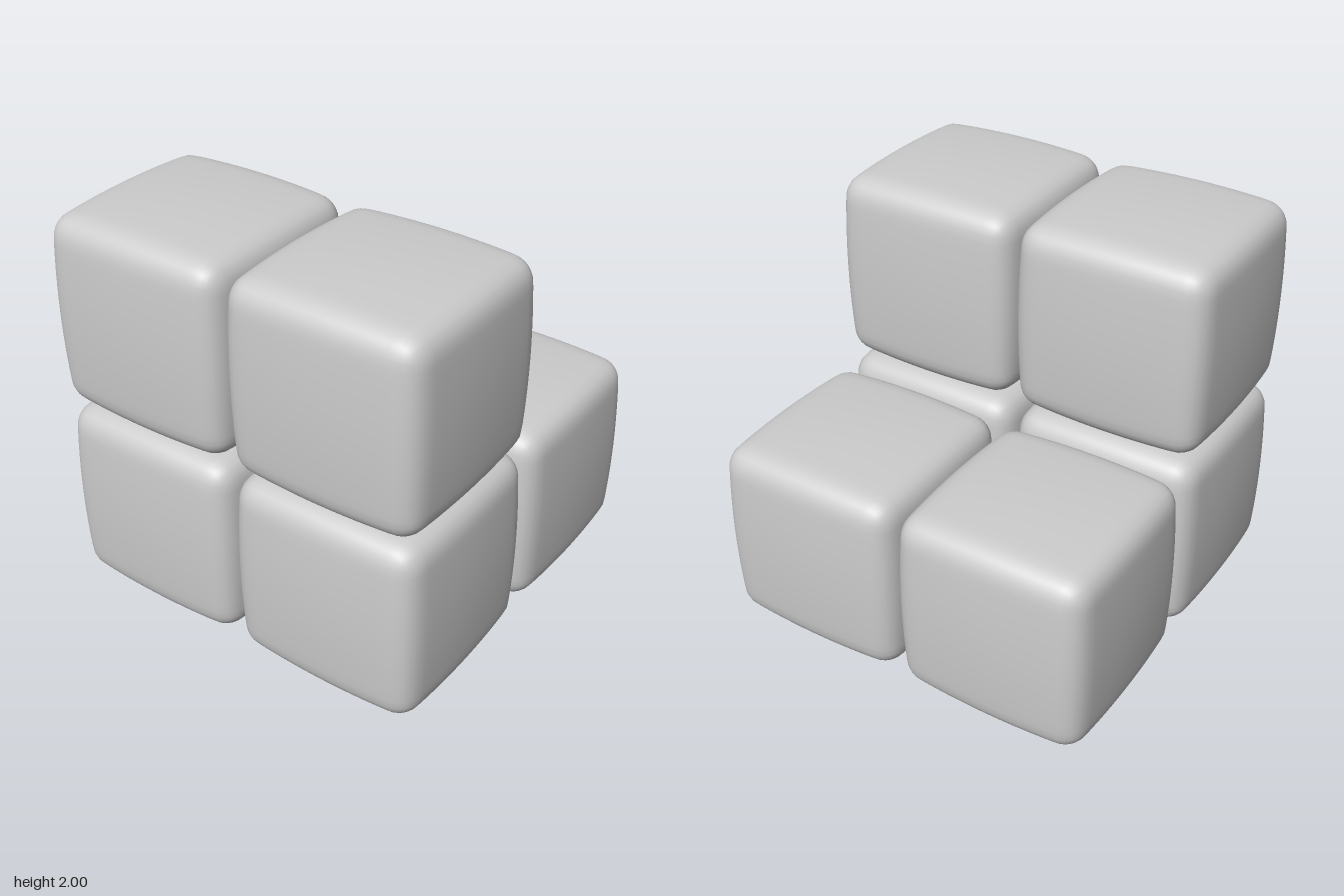
import * as THREE from 'three';
import { mergeVertices } from 'three/addons/utils/BufferGeometryUtils.js';

const HALF = 0.505;   // half size of one cushion block
const OFFSET = 0.495; // block centre distance from the middle planes
const INNER = 0.78;   // unit half size inside the rounded edges

// Cube with rounded edges and softly bulging faces
function softCube() {
  const n = 22;
  let geo = new THREE.BoxGeometry(2, 2, 2, n, n, n);
  geo.deleteAttribute('normal');
  geo.deleteAttribute('uv');
  geo = mergeVertices(geo, 1e-4);

  const pos = geo.attributes.position;
  const p = new THREE.Vector3();
  const core = new THREE.Vector3();
  const warp = (u) => u * (1.5 - 0.5 * u * u); // more rows near the edges
  const bulge = (a, b) => 1 - 0.05 * (a + b) + 0.02 * a * b;

  for (let i = 0; i < pos.count; i++) {
    p.fromBufferAttribute(pos, i);
    p.set(warp(p.x), warp(p.y), warp(p.z));
    // round the edges
    core.copy(p).clampScalar(-INNER, INNER);
    p.sub(core).setLength(1 - INNER).add(core);
    // pull edges and corners inward so that the faces bulge
    const x2 = p.x * p.x, y2 = p.y * p.y, z2 = p.z * p.z;
    pos.setXYZ(i,
      p.x * bulge(y2, z2) * HALF,
      p.y * bulge(x2, z2) * HALF,
      p.z * bulge(x2, y2) * HALF);
  }
  geo.computeVertexNormals();
  return geo;
}

export function createModel() {
  const model = new THREE.Group();
  model.name = 'softCubeStack';
  const material = new THREE.MeshStandardMaterial({ color: 0xcccccc });
  const geometry = softCube();

  // Rows of two blocks: two on the floor, one on top at the front
  const rows = [
    ['lowerFront', -1, 1],
    ['lowerBack', -1, -1],
    ['upperFront', 1, 1],
  ];
  for (const [name, level, depth] of rows) {
    for (const side of [-1, 1]) {
      const block = new THREE.Mesh(geometry, material);
      block.name = name + (side > 0 ? 'LeftCube' : 'RightCube');
      block.position.set(side * OFFSET, 1 + level * OFFSET, depth * OFFSET);
      model.add(block);
    }
  }
  return model;
}
